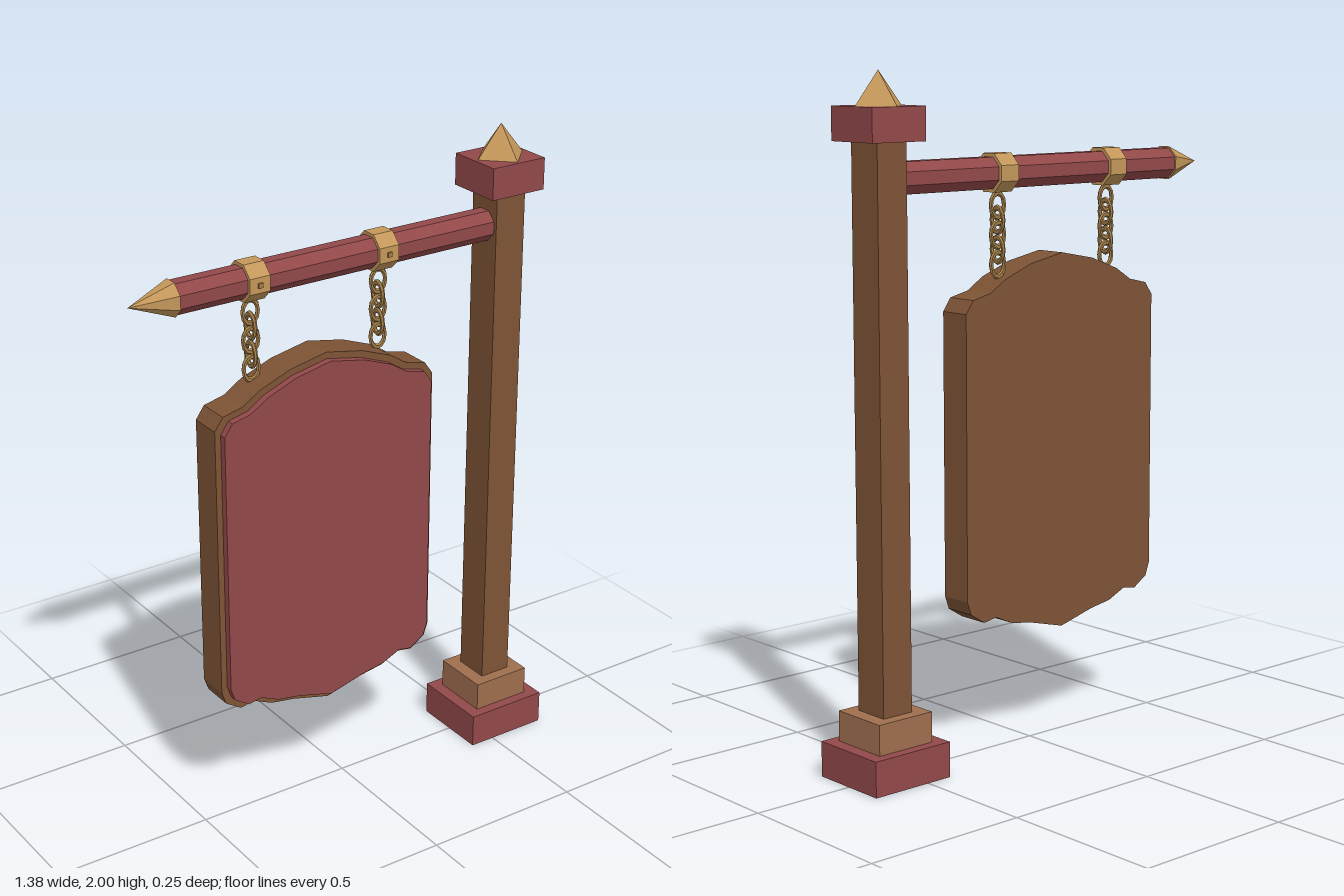
import * as THREE from 'three';

const paint = (name, color, extra = {}) => {
  const m = new THREE.MeshStandardMaterial({ color, flatShading: true, ...extra });
  m.name = name;
  return m;
};

export function createModel() {
  const red = paint('redPaint', 0x924849);
  const wood = paint('darkWood', 0x7d5335);
  const paleWood = paint('paleWood', 0x9f6e4e);
  const gold = paint('gold', 0xc4975a);
  const bronze = paint('chainBronze', 0xa27d48);

  const model = new THREE.Group();
  model.name = 'hangingSign';
  const add = (name, geometry, material, x = 0, y = 0, z = 0) => {
    const mesh = new THREE.Mesh(geometry, material);
    mesh.name = name;
    mesh.position.set(x, y, z);
    model.add(mesh);
    return mesh;
  };

  // Post: stacked blocks from the ground up
  const postX = 0.554;
  const block = (name, material, w, d, y0, y1) =>
    add(name, new THREE.BoxGeometry(w, y1 - y0, d), material, postX, (y0 + y1) / 2, 0);
  block('basePlinth', red, 0.268, 0.25, 0, 0.105);
  block('baseStep', paleWood, 0.19, 0.186, 0.105, 0.195);
  block('post', wood, 0.102, 0.114, 0.195, 1.807);
  block('postCap', red, 0.186, 0.18, 1.807, 1.903);
  add('postFinial', new THREE.ConeGeometry(0.081, 0.097, 4), gold, postX, 1.9515, 0);

  // Eight-sided parts along the arm, with flats on top and front
  const armY = 1.704;
  const along = (name, material, x0, x1, rLeft, rRight) => {
    const g = new THREE.CylinderGeometry(rLeft, rRight, x1 - x0, 8);
    g.rotateY(Math.PI / 8);
    g.rotateZ(Math.PI / 2);
    return add(name, g, material, (x0 + x1) / 2, armY, 0);
  };
  along('arm', red, -0.555, 0.51, 0.049, 0.049);
  along('armTip', gold, -0.69, -0.555, 0, 0.054);

  // Bands with pins, and chains of alternating links
  for (const x of [-0.307, 0.124]) {
    along('armBand', gold, x - 0.033, x + 0.033, 0.06, 0.06);
    add('bandPin', new THREE.BoxGeometry(0.014, 0.014, 0.01), bronze, x, armY, 0.056);
    for (let i = 0; i < 5; i++) {
      const link = new THREE.TorusGeometry(0.025, 0.0065, 6, 12);
      link.scale(1, 1.42, 1);
      if (i % 2) link.rotateY(Math.PI / 2);
      add('chainLink', link, bronze, x, 1.61 - i * 0.0425, 0);
    }
  }

  // Sign board: half outline mirrored about its middle
  const half = [
    [0, 1.462], [0.122, 1.438], [0.222, 1.4], [0.28, 1.363], [0.345, 1.348], [0.372, 1.31],
    [0.372, 0.47], [0.358, 0.43], [0.308, 0.398], [0.262, 0.406], [0.2, 0.378], [0.122, 0.365], [0, 0.333],
  ];
  const midY = 0.8975;
  const outline = [...half, ...half.slice(1, -1).reverse().map(([x, y]) => [-x, y])];
  const panel = (name, material, sx, sy, z0, z1) => {
    const shape = new THREE.Shape(outline.map(([x, y]) => new THREE.Vector2(x * sx, (y - midY) * sy)));
    const g = new THREE.ExtrudeGeometry(shape, { depth: z1 - z0, bevelEnabled: false });
    add(name, g, material, -0.098, midY, z0);
  };
  panel('signBoard', wood, 1, 1, -0.035, 0.066);
  panel('signFace', red, 0.95, 0.964, 0.066, 0.088);

  return model;
}
